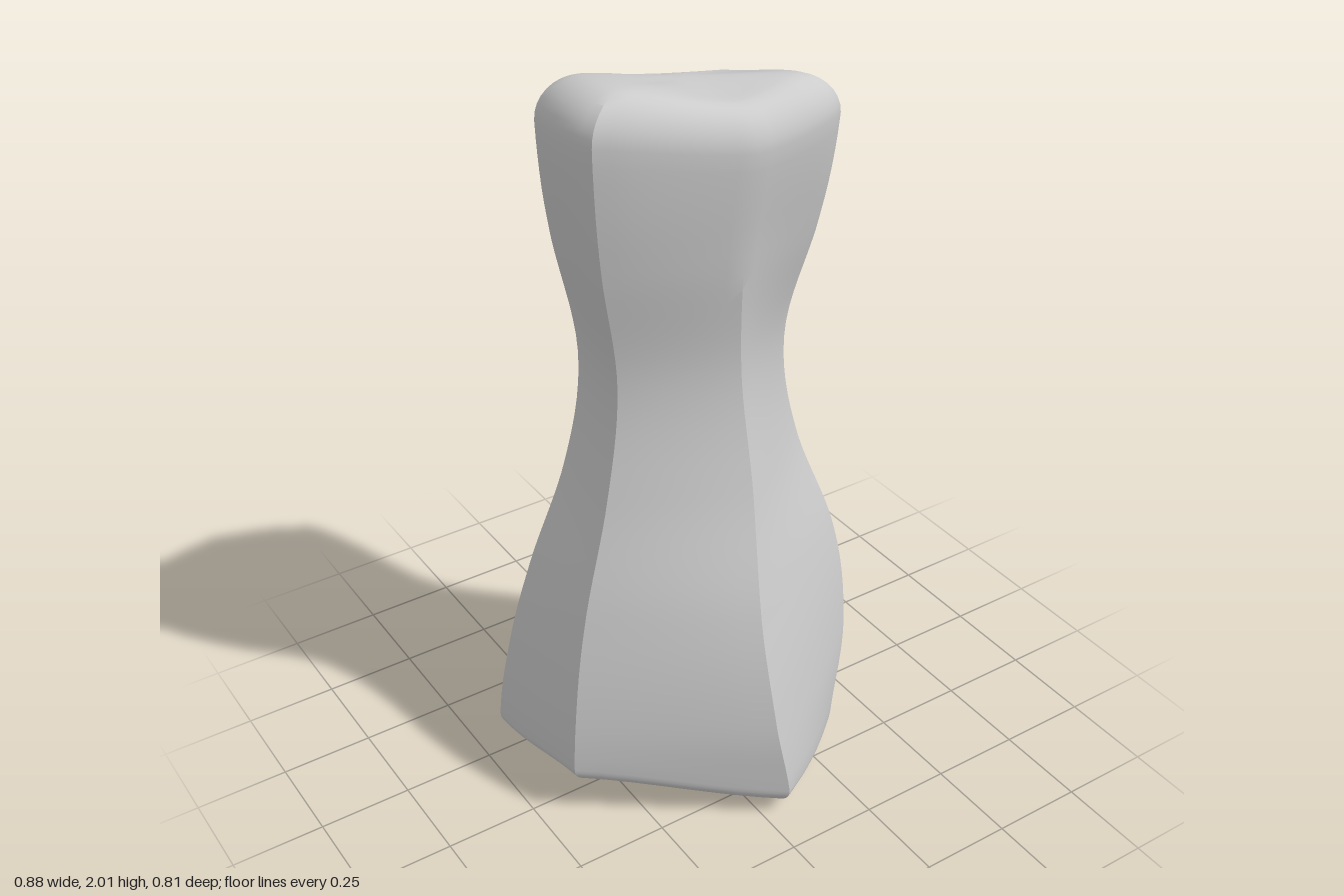
import * as THREE from 'three';
import { toCreasedNormals } from 'three/addons/utils/BufferGeometryUtils.js';

// Six corner ridges, each as [x, z] at these heights
const LEVELS = [0.05, 0.3, 0.6, 0.95, 1.25, 1.6, 1.87];
const RIDGES = [
  [[.06, .4], [.02, .385], [.01, .32], [.05, .21], [.045, .16], [.02, .2], [.03, .235]],
  [[.35, .19], [.43, .13], [.42, .08], [.31, .03], [.26, .04], [.295, .12], [.305, .165]],
  [[.3, -.25], [.335, -.265], [.31, -.24], [.24, -.18], [.205, -.14], [.235, -.185], [.25, -.18]],
  [[-.03, -.385], [-.03, -.41], [0, -.385], [.02, -.305], [.03, -.28], [0, -.3], [-.04, -.28]],
  [[-.44, -.29], [-.42, -.26], [-.36, -.22], [-.26, -.17], [-.225, -.15], [-.28, -.17], [-.32, -.14]],
  [[-.42, .09], [-.41, .09], [-.36, .07], [-.27, .05], [-.235, .05], [-.295, .09], [-.32, .11]],
];
// Height of each ridge's lower and upper end
const BOTTOM = [.02, 0, .18, .06, .03, .1];
const TOP = [1.95, 1.96, 1.89, 1.9, 1.98, 2];
const SIDE_STEPS = 8, BODY_ROWS = 40, CAP_ROWS = 8;

const { lerp, smoothstep, clamp } = THREE.MathUtils;

// Cubic through p1 and p2, with p0 and p3 as neighbours
function cubic(p0, p1, p2, p3, t) {
  const a = (p2 - p0) / 2, b = (p3 - p1) / 2;
  return ((2 * (p1 - p2) + a + b) * t + 3 * (p2 - p1) - 2 * a - b) * t * t + a * t + p1;
}

function ridgePoint(ridge, y) {
  const last = LEVELS.length - 1;
  let i = 0;
  while (i < last - 1 && y > LEVELS[i + 1]) i++;
  const t = clamp((y - LEVELS[i]) / (LEVELS[i + 1] - LEVELS[i]), 0, 1);
  const p = (k) => ridge[clamp(k, 0, last)];
  return [0, 1].map((c) => cubic(p(i - 1)[c], p(i)[c], p(i + 1)[c], p(i + 2)[c], t));
}

// Blend around the closed loop: straight sides (round = 0) to a smooth curve (round = 1)
function around(values, u, round) {
  const i = Math.floor(u) % 6, t = u - Math.floor(u);
  const v = (k) => values[(i + k + 6) % 6];
  return lerp(lerp(v(0), v(1), t), cubic(v(-1), v(0), v(1), v(2), t), round);
}

function outline(u, y) {
  const points = RIDGES.map((r) => ridgePoint(r, y));
  const round = 0.12 + 0.4 * smoothstep(y, 1.25, 1.9);
  return [0, 1].map((c) => around(points.map((p) => p[c]), u, round));
}

// One column of points from the bottom centre, up the side, to the top centre
function column(u) {
  const low = around(BOTTOM, u, 0.8), high = around(TOP, u, 0.8);
  const points = [];
  const cap = (plateau, sign, radius, centre) => {
    const rim = plateau - sign * radius;
    const [x, z] = outline(u, rim);
    const rows = [];
    const add = (s, y) => rows.push([lerp(centre[0], x, s), y, lerp(centre[2], z, s)]);
    // rounded lip
    for (let k = 0; k <= CAP_ROWS; k++) {
      const a = (k / CAP_ROWS) * Math.PI / 2;
      add(1 - (radius / 0.32) * (1 - Math.cos(a)), rim + sign * radius * Math.sin(a));
    }
    // dished middle
    const inner = 1 - radius / 0.32;
    for (let k = 1; k <= CAP_ROWS; k++) {
      const t = k / CAP_ROWS;
      add(inner * (1 - t), lerp(plateau, centre[1], smoothstep(t, 0, 1)));
    }
    return { rim, rows };
  };
  const base = cap(low, -1, 0.06, [-.02, .08, -.04]);
  const head = cap(high, 1, 0.1, [-.01, 1.955, -.02]);
  points.push(...base.rows.reverse());
  for (let k = 1; k < BODY_ROWS; k++) {
    const y = lerp(base.rim, head.rim, k / BODY_ROWS);
    const [x, z] = outline(u, y);
    points.push([x, y, z]);
  }
  points.push(...head.rows);
  return points;
}

function bodyGeometry() {
  const count = 6 * SIDE_STEPS;
  const positions = [], index = [];
  let rows = 0;
  for (let j = 0; j < count; j++) {
    const points = column(j / SIDE_STEPS);
    rows = points.length;
    positions.push(...points.flat());
  }
  for (let j = 0; j < count; j++) {
    const a = j * rows, b = ((j + 1) % count) * rows;
    for (let i = 0; i < rows - 1; i++) {
      if (i > 0) index.push(a + i, b + i, b + i + 1);
      if (i < rows - 2) index.push(a + i, b + i + 1, a + i + 1);
      else index.push(a + i, b + i, a + i + 1);
    }
  }
  // the last row closes at the centre, so drop its doubled triangles
  const clean = [];
  for (let k = 0; k < index.length; k += 3) {
    const tri = index.slice(k, k + 3);
    const rowsOf = tri.map((n) => n % rows);
    const collapsed = rowsOf.filter((r) => r === rows - 1).length > 1 || rowsOf.filter((r) => r === 0).length > 1;
    const doubled = rowsOf[2] === rows - 1 && rowsOf[1] === rows - 2 && clean.length &&
      clean.slice(-3).join() === tri.join();
    if (!collapsed && !doubled) clean.push(...tri);
  }
  const geometry = new THREE.BufferGeometry();
  geometry.setAttribute('position', new THREE.Float32BufferAttribute(positions, 3));
  geometry.setIndex(clean);
  return toCreasedNormals(geometry, 0.5);
}

export function createModel() {
  const group = new THREE.Group();
  group.name = 'boneShape';
  const body = new THREE.Mesh(bodyGeometry(), new THREE.MeshStandardMaterial({ color: 0xcccccc }));
  body.name = 'boneBody';
  group.add(body);
  return group;
}
